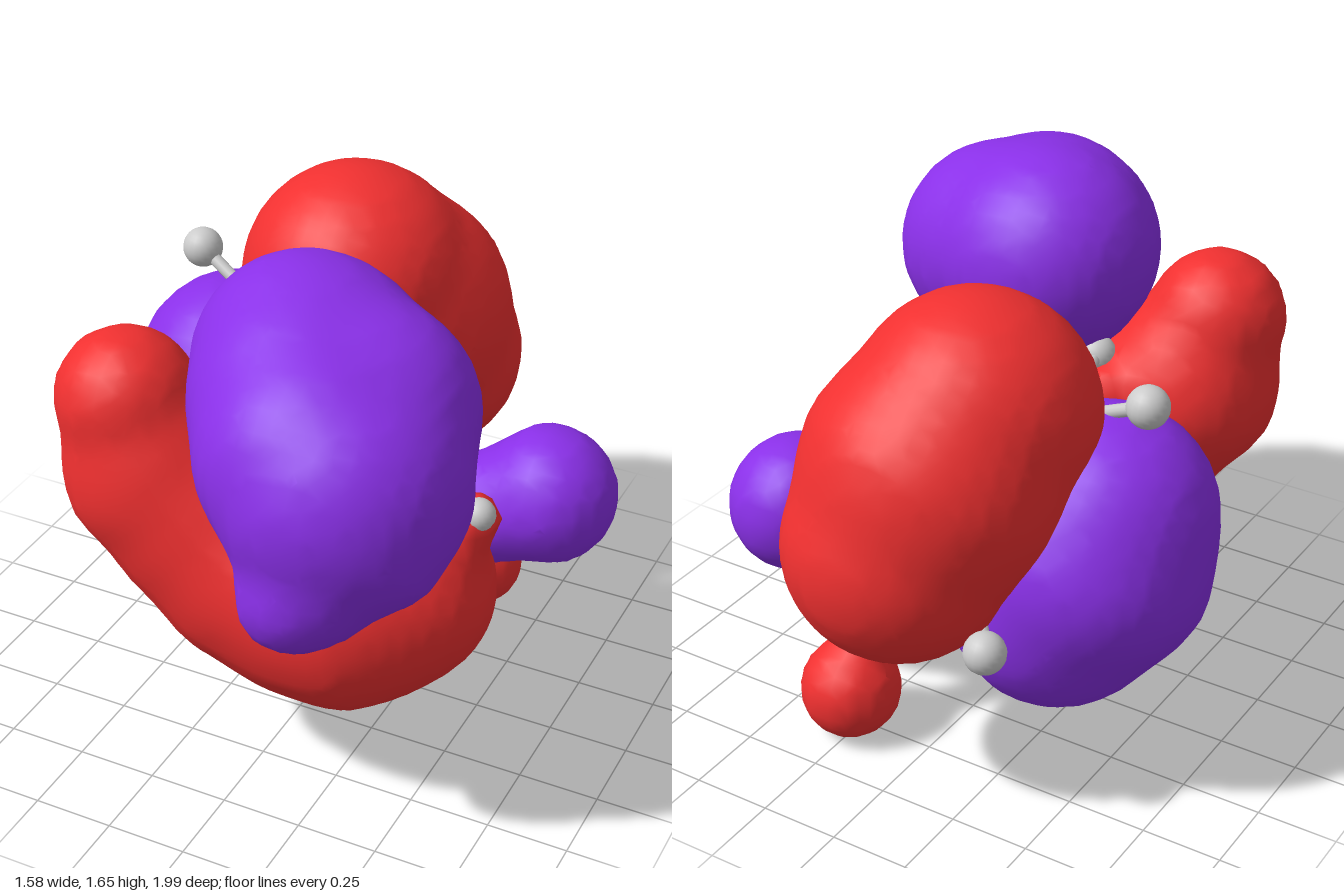
import * as THREE from 'three';

const RED = 0xf03030, PURPLE = 0x8a30e8, GREY = 0xcccccc;

// Each lobe is a set of strands; a strand is a chain of [x, y, z, radius].
const LOBES = {
  upperFrontLobe: [PURPLE, [
    [[0.08, 1.33, 0.345, 0.328], [0.15, 1.29, 0.47, 0.33], [0.25, 1.23, 0.61, 0.335], [0.33, 1.17, 0.645, 0.352]],
    [[0.16, 1.315, 0.36, 0.315], [0.31, 1.28, 0.43, 0.31], [0.35, 1.18, 0.62, 0.34]],
    [[0.37, 1.06, 0.71, 0.275], [0.31, 0.95, 0.8, 0.19], [0.27, 0.89, 0.84, 0.135]],
  ]],
  upperBackLobe: [RED, [
    [[-0.14, 1.195, -0.435, 0.363], [-0.08, 1.03, -0.55, 0.39], [-0.025, 0.845, -0.655, 0.343]],
  ]],
  lowerBackLobe: [PURPLE, [
    [[-0.455, 0.865, -0.235, 0.33], [-0.42, 0.74, -0.28, 0.37], [-0.335, 0.6, -0.3, 0.34], [0.08, 0.6, -0.2, 0.09]],
    [[0.08, 0.6, -0.2, 0.09], [0.38, 0.55, -0.3, 0.17], [0.57, 0.63, -0.345, 0.222]],
  ]],
  frontCrescentLobe: [RED, [
    [[-0.42, 1.175, 0.5, 0.212], [-0.345, 0.95, 0.46, 0.28], [-0.2, 0.8, 0.43, 0.297], [-0.05, 0.68, 0.41, 0.32],
      [0.1, 0.635, 0.38, 0.35], [0.23, 0.63, 0.365, 0.36], [0.36, 0.64, 0.32, 0.295]],
    [[0.4, 0.74, 0.32, 0.25], [0.575, 0.92, 0.28, 0.083]],
    [[-0.14, 0.78, 0.38, 0.22], [-0.2, 0.99, 0.2, 0.08]],
  ]],
  smallLowerLobe: [RED, [
    [[0.26, 0.16, -0.54, 0.157], [0.26, 0.17, -0.535, 0.157]],
    [[0.26, 0.24, -0.51, 0.08], [0.22, 0.46, -0.42, 0.07]],
  ]],
};

const ATOMS = {
  upperBackAtom: [-0.28, 1.1, -0.18, 0.07],
  upperFrontAtom: [-0.14, 1.08, 0.25, 0.06],
  frontAtom: [0.2, 0.93, 0.43, 0.085],
  backAtom: [-0.12, 0.68, -0.42, 0.085],
  lowerAtom: [0.22, 0.46, -0.33, 0.1],
  leftEndAtom: [-0.595, 1.265, -0.265, 0.063],
  rightEndAtom: [0.6, 0.95, 0.3, 0.05],
  innerEndAtom: [0.22, 0.46, 0.03, 0.06],
  backEndAtom: [-0.36, 0.64, -0.74, 0.063],
  bottomEndAtom: [0.26, 0.16, -0.53, 0.06],
};

const BONDS = [
  ['upperBackAtom', 'upperFrontAtom'], ['upperFrontAtom', 'frontAtom'],
  ['upperBackAtom', 'backAtom'], ['backAtom', 'lowerAtom'],
  ['upperBackAtom', 'leftEndAtom'], ['frontAtom', 'rightEndAtom'],
  ['lowerAtom', 'innerEndAtom'], ['lowerAtom', 'bottomEndAtom'],
  ['backAtom', 'backEndAtom'],
];

// Signed distance to a segment whose radius varies along its length
function taperDistance(p, [ax, ay, az, ra], [bx, by, bz, rb]) {
  const ux = bx - ax, uy = by - ay, uz = bz - az;
  const px = p[0] - ax, py = p[1] - ay, pz = p[2] - az;
  const t = THREE.MathUtils.clamp((px * ux + py * uy + pz * uz) / (ux * ux + uy * uy + uz * uz), 0, 1);
  return Math.hypot(px - ux * t, py - uy * t, pz - uz * t) - (ra + (rb - ra) * t);
}

// Smooth union of all strands
function fieldAt(p, strands) {
  const k = 0.04;
  let d = 10;
  for (const s of strands) {
    for (let i = 0; i + 1 < s.length; i++) {
      const e = taperDistance(p, s[i], s[i + 1]);
      const h = Math.max(k - Math.abs(d - e), 0) / k;
      d = Math.min(d, e) - h * h * k * 0.25;
    }
  }
  return d;
}

// Surface net: one vertex per grid cell the surface crosses, one quad per crossed edge
function lobeGeometry(strands, step = 0.045) {
  const all = strands.flat();
  const lo = [0, 1, 2].map((a) => Math.min(...all.map((s) => s[a] - s[3])) - 2.5 * step);
  const hi = [0, 1, 2].map((a) => Math.max(...all.map((s) => s[a] + s[3])) + 2.5 * step);
  const n = lo.map((v, a) => Math.ceil((hi[a] - v) / step) + 1);
  const stride = [1, n[0], n[0] * n[1]];
  const values = new Float32Array(n[0] * n[1] * n[2]);
  const at = (i) => [i % n[0], Math.floor(i / n[0]) % n[1], Math.floor(i / stride[2])];
  for (let i = 0; i < values.length; i++) {
    values[i] = fieldAt(at(i).map((c, a) => lo[a] + c * step), strands);
  }
  const positions = [], index = [], cellVertex = new Map();
  for (let i = 0; i < values.length; i++) {
    const c = at(i);
    if (c.some((v, a) => v >= n[a] - 1)) continue;
    const sum = [0, 0, 0];
    let count = 0;
    for (let corner = 0; corner < 8; corner++) {
      const o = [corner & 1, (corner >> 1) & 1, corner >> 2];
      const j = i + o[0] + o[1] * stride[1] + o[2] * stride[2];
      for (let a = 0; a < 3; a++) {
        const v = values[j], w = values[j + stride[a]];
        if (o[a] || (v < 0) === (w < 0)) continue;
        for (let b = 0; b < 3; b++) sum[b] += o[b] + (a === b ? v / (v - w) : 0);
        count++;
      }
    }
    if (!count) continue;
    cellVertex.set(i, positions.length / 3);
    positions.push(...sum.map((s, a) => lo[a] + (c[a] + s / count) * step));
  }
  for (const i of cellVertex.keys()) {
    for (let a = 0; a < 3; a++) {
      const inside = values[i] < 0;
      if (inside === (values[i + stride[a]] < 0)) continue;
      const sb = stride[(a + 1) % 3], sc = stride[(a + 2) % 3];
      const q = [i - sb - sc, i - sc, i, i - sb].map((k) => cellVertex.get(k));
      if (!inside) q.reverse();
      index.push(q[0], q[1], q[2], q[0], q[2], q[3]);
    }
  }
  const geometry = new THREE.BufferGeometry();
  geometry.setAttribute('position', new THREE.Float32BufferAttribute(positions, 3));
  geometry.setIndex(index);
  geometry.computeVertexNormals();
  return geometry;
}

export function createModel() {
  const model = new THREE.Group();
  model.name = 'molecularOrbital';
  const add = (name, geometry, color) => {
    const mesh = new THREE.Mesh(geometry, new THREE.MeshStandardMaterial({ color }));
    mesh.name = name;
    model.add(mesh);
    return mesh;
  };

  // Orbital lobes
  for (const [name, [color, strands]] of Object.entries(LOBES)) add(name, lobeGeometry(strands), color);

  // Atoms
  for (const [name, [x, y, z, r]] of Object.entries(ATOMS)) {
    add(name, new THREE.SphereGeometry(r, 20, 14), GREY).position.set(x, y, z);
  }

  // Bonds between atom centres
  for (const [from, to] of BONDS) {
    const a = new THREE.Vector3(...ATOMS[from].slice(0, 3));
    const b = new THREE.Vector3(...ATOMS[to].slice(0, 3));
    const bond = add('bond', new THREE.CylinderGeometry(0.02, 0.02, a.distanceTo(b), 12), GREY);
    bond.position.copy(a).lerp(b, 0.5);
    bond.quaternion.setFromUnitVectors(new THREE.Vector3(0, 1, 0), b.sub(a).normalize());
  }
  return model;
}
